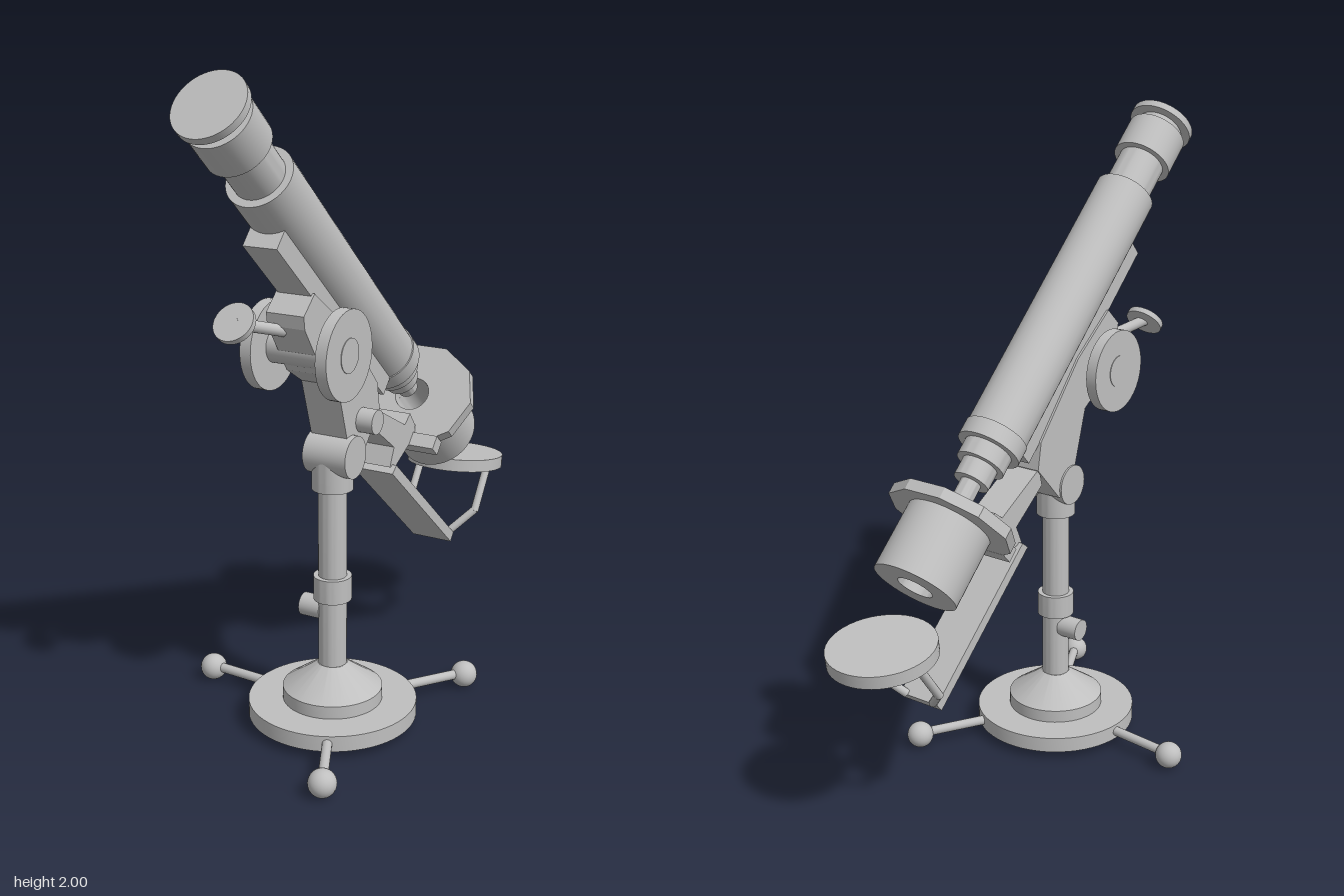
import * as THREE from 'three';
import { toCreasedNormals } from 'three/addons/utils/BufferGeometryUtils.js';

export function createModel() {
  const metal = new THREE.MeshStandardMaterial({ color: 0xbfbfbf });
  metal.name = 'grey metal';

  const model = new THREE.Group();
  model.name = 'microscope';
  const body = new THREE.Group(); // everything sits on the plane x = 0.1
  body.name = 'body';
  body.position.x = 0.1;
  model.add(body);

  const add = (name, geometry, parent = body) => {
    const mesh = new THREE.Mesh(geometry, metal);
    mesh.name = name;
    parent.add(mesh);
    return mesh;
  };
  // turned part from [radius, height] points, bottom to top
  const turned = (points, sides = 48) =>
    toCreasedNormals(new THREE.LatheGeometry(points.map(p => new THREE.Vector2(...p)), sides), 0.6);
  // cylinder along x between x0 and x1
  const crossCylinder = (name, r, x0, x1, y, z) => {
    const mesh = add(name, new THREE.CylinderGeometry(r, r, x1 - x0, 40));
    mesh.rotation.z = Math.PI / 2;
    mesh.position.set((x0 + x1) / 2, y, z);
    return mesh;
  };
  // round rod between two points
  const rod = (name, a, b, r) => {
    const from = new THREE.Vector3(...a), to = new THREE.Vector3(...b);
    const dir = to.clone().sub(from);
    const mesh = add(name, new THREE.CylinderGeometry(r, r, dir.length(), 16));
    mesh.position.copy(from).add(to).multiplyScalar(0.5);
    mesh.quaternion.setFromUnitVectors(new THREE.Vector3(0, 1, 0), dir.normalize());
    return mesh;
  };
  // side outline in [z, y], given thickness across x
  const sidePlate = (name, points, width) => {
    const shape = new THREE.Shape(points.map(p => new THREE.Vector2(...p)));
    const g = new THREE.ExtrudeGeometry(shape, { depth: width, bevelEnabled: false });
    g.translate(0, 0, -width / 2).rotateY(-Math.PI / 2);
    return add(name, g);
  };

  // Base and column
  const zc = 0.165;
  add('base', turned([[0, 0.026], [0.257, 0.026], [0.257, 0.075], [0.152, 0.075],
    [0.152, 0.115], [0.045, 0.19], [0, 0.19]], 64)).position.z = zc;
  add('column', turned([[0, 0.18], [0.043, 0.18], [0.043, 0.4], [0.058, 0.4], [0.058, 0.475],
    [0.043, 0.475], [0.043, 0.75], [0.062, 0.75], [0.062, 0.857], [0, 0.857]])).position.z = zc;
  crossCylinder('columnLockKnob', 0.035, -0.1, -0.03, 0.36, zc);

  // Ball feet
  for (const [x, z] of [[0.26, -0.228], [-0.465, 0.127], [0.202, 0.575]]) {
    rod('footRod', [x * 0.4, 0.052, zc + (z - zc) * 0.4], [x, 0.046, z], 0.015);
    add('footBall', new THREE.SphereGeometry(0.042, 24, 16)).position.set(x, 0.042, z);
  }

  // Tilting joint and arm
  crossCylinder('tiltJoint', 0.064, -0.066, 0.077, 0.857, zc);
  sidePlate('arm', [[0.367, 1.381], [0.425, 1.328], [0.42, 1.29], [0.32, 1.14], [0.24, 1.09],
    [0.19, 0.93], [0.165, 0.857], [0.1, 0.832], [-0.013, 0.955], [0.003, 1.042], [0.2, 1.26]], 0.12);
  crossCylinder('armPin', 0.037, 0.05, 0.113, 0.952, 0.098);

  // Focus wheels, one on each side
  const wheelY = 1.206, wheelZ = 0.315;
  crossCylinder('focusAxle', 0.05, -0.137, 0.142, wheelY, wheelZ);
  crossCylinder('focusWheelRight', 0.13, -0.135, -0.1, wheelY, wheelZ);
  crossCylinder('focusWheelLeft', 0.13, 0.105, 0.14, wheelY, wheelZ);

  // Optical group: local y runs up the tube, local z points towards the arm
  const optics = new THREE.Group();
  optics.name = 'optics';
  optics.position.set(0, 0.937, -0.315);
  optics.rotation.x = 0.834;
  body.add(optics);
  add('tube', turned([[0, 0], [0.032, 0], [0.032, 0.065], [0.056, 0.065], [0.056, 0.125],
    [0.076, 0.125], [0.076, 0.18], [0.1, 0.18], [0.1, 0.235], [0.096, 0.235], [0.096, 1.16],
    [0.074, 1.16], [0.074, 1.29], [0.095, 1.29], [0.095, 1.41], [0.074, 1.41], [0.074, 1.437],
    [0.104, 1.437], [0.104, 1.46], [0, 1.46]]), optics);
  add('rackBar', new THREE.BoxGeometry(0.106, 0.807, 0.068), optics).position.set(0, 0.634, 0.105);

  // Fine focus knob
  const knob = add('fineFocusKnob', new THREE.CylinderGeometry(0.06, 0.06, 0.018, 32));
  knob.position.set(-0.087, 1.317, 0.54);
  knob.rotation.x = 0.834;
  rod('fineFocusStem', [-0.087, 1.317, 0.54], [-0.02, 1.275, 0.4], 0.017);

  // Ten-sided stage with a round opening
  const outline = [];
  for (let i = 0; i < 10; i++) {
    const a = i * Math.PI / 5;
    outline.push(new THREE.Vector2(0.205 * Math.cos(a), 0.184 * Math.sin(a)));
  }
  const stageShape = new THREE.Shape(outline);
  stageShape.holes.push(new THREE.Path().absarc(0, 0, 0.056, 0, Math.PI * 2, true));
  const stageGeometry = new THREE.ExtrudeGeometry(stageShape,
    { depth: 0.036, bevelEnabled: false, curveSegments: 32 });
  stageGeometry.rotateX(-Math.PI / 2);
  add('stage', stageGeometry, optics).position.y = -0.076;
  add('condenserHousing', turned([[0.056, -0.292], [0.132, -0.292], [0.132, -0.076],
    [0.056, -0.076], [0.056, -0.292]]), optics);

  // Stage bracket, clamp bar and strut
  sidePlate('stageBracket', [[0, 0.958], [-0.19, 0.857], [-0.225, 0.884], [-0.262, 0.836],
    [-0.257, 0.804], [-0.135, 0.741], [-0.093, 0.746], [-0.119, 0.804], [0.013, 0.9]], 0.11);
  const clamp = add('clampBar', new THREE.BoxGeometry(0.266, 0.045, 0.045));
  clamp.position.set(0.005, 0.785, -0.25);
  clamp.rotation.x = 0.834;
  sidePlate('mirrorStrut', [[-0.082, 0.73], [-0.108, 0.751], [-0.532, 0.386], [-0.511, 0.36]], 0.14);

  // Mirror and its fork
  for (const s of [-1, 1]) {
    rod('forkLower', [s * 0.05, 0.385, -0.525], [s * 0.122, 0.46, -0.585], 0.013);
    rod('forkUpper', [s * 0.122, 0.455, -0.582], [s * 0.122, 0.595, -0.68], 0.013);
  }
  const mirror = add('mirror', new THREE.CylinderGeometry(0.161, 0.161, 0.04, 48));
  mirror.position.set(0, 0.602, -0.68);
  mirror.rotation.x = -0.135;

  return model;
}
